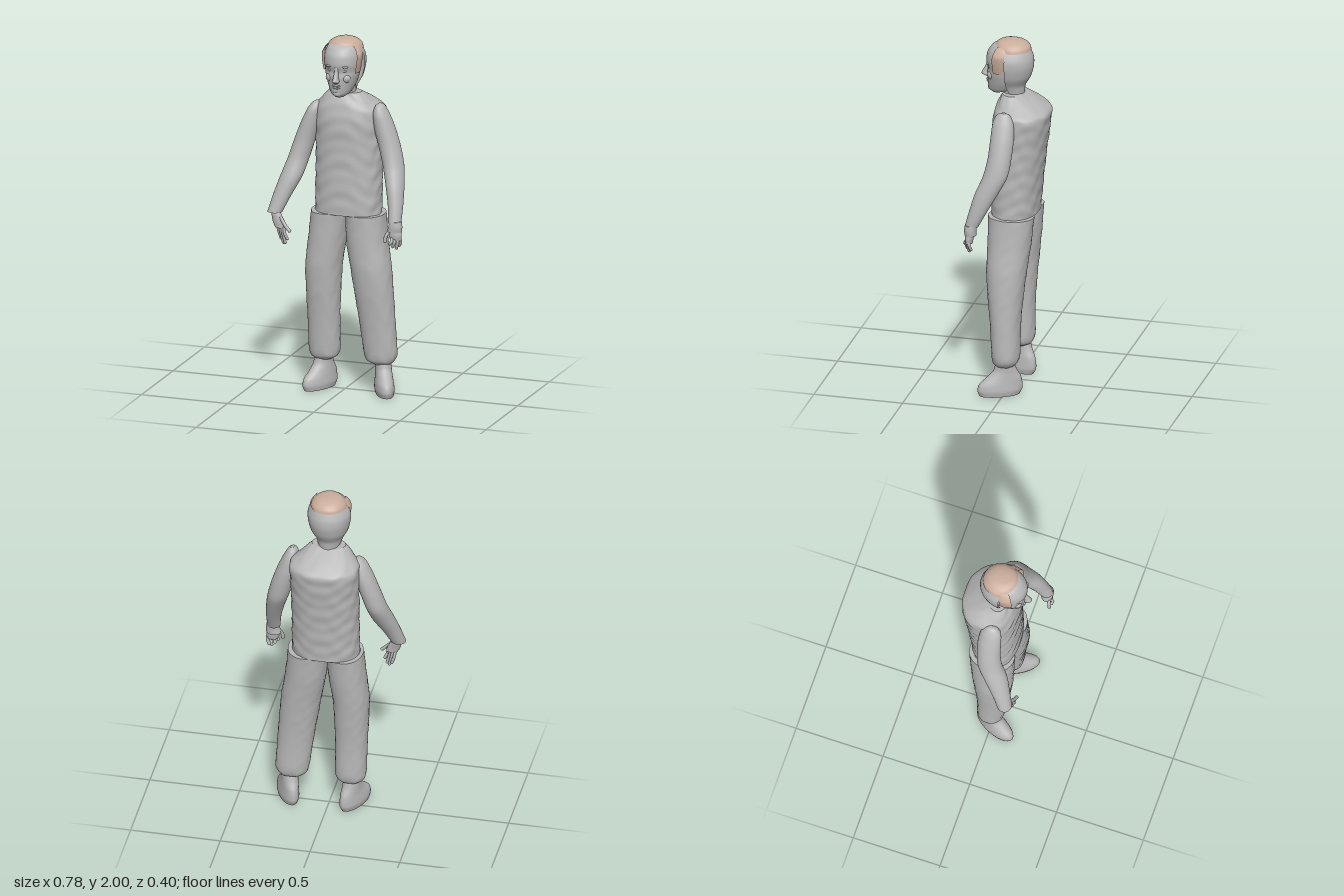
import * as THREE from 'three';

const grey = new THREE.MeshStandardMaterial({ color: 0xb8b8b8, side: THREE.DoubleSide });
grey.name = 'plain grey';
const tan = new THREE.MeshStandardMaterial({ color: 0xcbae9d, side: THREE.DoubleSide });
tan.name = 'hair tan';

// Smooth loft through horizontal rings, bottom to top: [y, xMin, xMax, zMin, zMax].
function loft(name, rings, { material = grey, power = 2, seg = 36, steps = 5, from = 0, to = Math.PI * 2, ripple = 0 } = {}) {
  const centres = new THREE.CatmullRomCurve3(
    rings.map(([y, a, b, c, d]) => new THREE.Vector3((a + b) / 2, y, (c + d) / 2)), false, 'catmullrom', 0.4);
  const radii = new THREE.CatmullRomCurve3(
    rings.map(([, a, b, c, d]) => new THREE.Vector3((b - a) / 2, 0, (d - c) / 2)), false, 'catmullrom', 0.4);
  const closed = to - from > 6.28;
  const cols = closed ? seg : seg + 1;
  const rows = (rings.length - 1) * steps;
  const pos = [], index = [];
  const bend = (v) => Math.sign(v) * Math.abs(v) ** (2 / power);
  for (let i = 0; i <= rows; i++) {
    const c = centres.getPoint(i / rows), r = radii.getPoint(i / rows);
    for (let j = 0; j < cols; j++) {
      const t = from + (to - from) * j / seg;
      const k = ripple * (Math.sin(c.y * 75 + Math.sin(t * 3) * 3) + Math.sin(c.y * 41 - Math.cos(t * 4) * 3)) / 2;
      pos.push(c.x + (r.x + k) * bend(Math.cos(t)), c.y, c.z + (r.z + k) * bend(Math.sin(t)));
    }
  }
  for (let i = 0; i < rows; i++) for (let j = 0; j < seg; j++) {
    const a = i * cols + j, b = i * cols + (j + 1) % cols;
    index.push(a, a + cols, b, b, a + cols, b + cols);
  }
  // Flat ends with their own corners, so the rims stay crisp
  if (closed) for (const row of [0, rows]) {
    const base = pos.length / 3, c = centres.getPoint(row / rows);
    for (let j = 0; j < cols; j++) pos.push(...pos.slice((row * cols + j) * 3, (row * cols + j) * 3 + 3));
    pos.push(c.x, c.y, c.z);
    for (let j = 0; j < cols; j++) {
      const n = base + (j + 1) % cols;
      index.push(base + cols, row ? n : base + j, row ? base + j : n);
    }
  }
  const geo = new THREE.BufferGeometry();
  geo.setAttribute('position', new THREE.Float32BufferAttribute(pos, 3));
  geo.setIndex(index);
  geo.computeVertexNormals();
  const mesh = new THREE.Mesh(geo, material);
  mesh.name = name;
  return mesh;
}

// Ellipsoid
function blob(name, [x, y, z], [rx, ry, rz], roll = 0) {
  const mesh = new THREE.Mesh(new THREE.SphereGeometry(1, 18, 12), grey);
  mesh.name = name;
  mesh.position.set(x, y, z);
  mesh.scale.set(rx, ry, rz);
  mesh.rotation.z = roll;
  return mesh;
}

// Rounded finger along a bent path
function finger(name, points, radius) {
  const g = new THREE.Group();
  g.name = name;
  const pts = points.map((p) => new THREE.Vector3(...p));
  g.add(new THREE.Mesh(new THREE.TubeGeometry(new THREE.CatmullRomCurve3(pts), 8, radius, 8), grey));
  g.add(blob(name + 'Tip', points[points.length - 1], [radius, radius, radius]));
  return g;
}

function shoe(name, x, yaw) {
  const mesh = loft(name, [
    [0, -0.045, 0.05, -0.085, 0.14],
    [0.03, -0.052, 0.055, -0.1, 0.15],
    [0.065, -0.05, 0.052, -0.1, 0.14],
    [0.1, -0.046, 0.048, -0.092, 0.1],
    [0.14, -0.045, 0.045, -0.07, 0.06],
    [0.2, -0.045, 0.045, -0.05, 0.045]]);
  mesh.position.x = x;
  mesh.rotation.y = yaw;
  return mesh;
}

function makeHead() {
  const g = new THREE.Group();
  g.name = 'head';
  g.add(loft('neck', [[1.6, -0.06, 0.065, -0.055, 0.06], [1.7, -0.055, 0.06, -0.055, 0.065], [1.78, -0.06, 0.065, -0.06, 0.08]]));
  g.add(loft('face', [
    [1.685, -0.022, 0.028, 0.07, 0.125],
    [1.705, -0.05, 0.055, 0.0, 0.145],
    [1.75, -0.073, 0.078, -0.05, 0.15],
    [1.8, -0.088, 0.093, -0.06, 0.152],
    [1.83, -0.093, 0.098, -0.06, 0.147],
    [1.87, -0.097, 0.102, -0.06, 0.157],
    [1.92, -0.095, 0.1, -0.06, 0.15],
    [1.96, -0.08, 0.085, -0.05, 0.122],
    [1.985, -0.05, 0.055, -0.03, 0.08]]));
  // Half shell behind the face, open to the front
  g.add(loft('backOfHead', [
    [1.7, -0.06, 0.065, -0.055, 0.085],
    [1.74, -0.075, 0.08, -0.062, 0.122],
    [1.79, -0.1, 0.107, -0.09, 0.15],
    [1.85, -0.113, 0.122, -0.106, 0.166],
    [1.9, -0.113, 0.122, -0.105, 0.165],
    [1.95, -0.09, 0.1, -0.086, 0.146],
    [1.975, -0.065, 0.07, -0.06, 0.12],
    [1.988, -0.02, 0.025, -0.02, 0.08]], { from: Math.PI, to: Math.PI * 2 }));
  // Hair: crown and two temple pieces
  g.add(loft('hairCrown', [
    [1.945, -0.094, 0.103, -0.092, 0.104],
    [1.965, -0.087, 0.096, -0.086, 0.105],
    [1.985, -0.066, 0.075, -0.064, 0.09],
    [1.996, -0.038, 0.045, -0.035, 0.062],
    [2.0, -0.008, 0.014, -0.005, 0.025]], { material: tan, ripple: 0.001 }));
  const temple = [
    [1.82, -0.097, 0.102, -0.045, 0.155],
    [1.87, -0.106, 0.112, -0.045, 0.16],
    [1.92, -0.109, 0.117, -0.045, 0.158],
    [1.955, -0.092, 0.1, -0.045, 0.14],
    [1.97, -0.078, 0.085, -0.045, 0.125]];
  g.add(loft('leftTempleHair', temple, { material: tan, seg: 10, from: -0.25, to: 0.46 }));
  g.add(loft('rightTempleHair', temple, { material: tan, seg: 10, from: Math.PI - 0.46, to: Math.PI + 0.25 }));
  // Features
  g.add(loft('nose', [
    [1.772, -0.012, 0.016, 0.14, 0.165],
    [1.783, -0.018, 0.022, 0.13, 0.186],
    [1.8, -0.013, 0.017, 0.13, 0.181],
    [1.835, -0.009, 0.013, 0.13, 0.162],
    [1.86, -0.012, 0.016, 0.13, 0.157]], { seg: 14 }));
  for (const s of [-1, 1]) {
    g.add(blob('eye', [0.002 + s * 0.038, 1.84, 0.132], [0.016, 0.008, 0.01]));
    g.add(blob('brow', [0.002 + s * 0.04, 1.864, 0.139], [0.026, 0.007, 0.011], s * -0.1));
    g.add(blob('cheek', [0.002 + s * 0.045, 1.795, 0.118], [0.026, 0.026, 0.024]));
  }
  g.add(blob('upperLip', [0.002, 1.755, 0.148], [0.026, 0.006, 0.01]));
  g.add(blob('lowerLip', [0.002, 1.743, 0.146], [0.021, 0.006, 0.011]));
  g.add(blob('chin', [0.002, 1.708, 0.132], [0.024, 0.018, 0.018]));
  return g;
}

function makeHands() {
  const g = new THREE.Group();
  g.name = 'hands';
  // Right hand hangs open
  g.add(loft('rightPalm', [
    [0.925, -0.345, -0.283, 0.15, 0.18],
    [0.96, -0.362, -0.292, 0.145, 0.18],
    [1.0, -0.37, -0.315, 0.135, 0.178],
    [1.03, -0.375, -0.325, 0.125, 0.17]], { seg: 18 }));
  [[-0.335, -0.317, 0.862, 0.15], [-0.322, -0.3, 0.842, 0.16], [-0.307, -0.286, 0.846, 0.17], [-0.293, -0.272, 0.87, 0.178]]
    .forEach(([x0, x1, y, z], i) => g.add(finger('rightFinger' + (i + 1),
      [[x0, 0.945, 0.165], [(x0 + x1) / 2 - 0.003, 0.9, z + 0.003], [x1, y, z]], 0.0085)));
  g.add(finger('rightThumb', [[-0.315, 0.985, 0.165], [-0.283, 0.945, 0.18], [-0.256, 0.918, 0.186]], 0.01));
  // Left hand is half closed below a cuff
  g.add(loft('leftCuff', [[0.965, 0.302, 0.385, 0.125, 0.19], [0.995, 0.31, 0.387, 0.125, 0.192], [1.025, 0.315, 0.382, 0.122, 0.188]], { seg: 20 }));
  g.add(loft('leftPalm', [
    [0.92, 0.322, 0.382, 0.145, 0.182],
    [0.95, 0.312, 0.386, 0.14, 0.186],
    [1.0, 0.32, 0.375, 0.135, 0.18]], { seg: 18 }));
  [[0.375, 0.368, 0.888, 0.15], [0.362, 0.356, 0.876, 0.162], [0.347, 0.34, 0.885, 0.175], [0.333, 0.325, 0.9, 0.186]]
    .forEach(([x0, x1, y, z], i) => g.add(finger('leftFinger' + (i + 1),
      [[x0, 0.945, 0.165], [x0 + 0.003, 0.912, z + 0.006], [x1, y, z]], 0.009)));
  g.add(finger('leftThumb', [[0.325, 0.975, 0.17], [0.303, 0.945, 0.182], [0.298, 0.915, 0.185]], 0.01));
  return g;
}

export function createModel() {
  const model = new THREE.Group();
  model.name = 'standingMan';

  model.add(loft('torso', [
    [1.01, -0.17, 0.2, -0.14, 0.115],
    [1.1, -0.17, 0.2, -0.148, 0.115],
    [1.25, -0.17, 0.2, -0.162, 0.112],
    [1.4, -0.172, 0.202, -0.18, 0.11],
    [1.53, -0.176, 0.207, -0.197, 0.11],
    [1.595, -0.175, 0.205, -0.2, 0.1],
    [1.635, -0.145, 0.162, -0.155, 0.088],
    [1.695, -0.09, 0.097, -0.05, 0.06]], { power: 2.3, seg: 64, steps: 9, ripple: 0.003 }));

  // Trouser legs, gathered at the ankle
  model.add(loft('rightLeg', [
    [0.165, -0.17, -0.075, -0.045, 0.045],
    [0.185, -0.196, -0.045, -0.07, 0.065],
    [0.23, -0.207, -0.036, -0.08, 0.072],
    [0.4, -0.211, -0.035, -0.08, 0.085],
    [0.55, -0.217, -0.03, -0.09, 0.102],
    [0.7, -0.22, -0.022, -0.105, 0.115],
    [0.85, -0.206, -0.002, -0.123, 0.115],
    [1.01, -0.19, 0.012, -0.138, 0.115]], { power: 2.2, seg: 44, ripple: 0.0015 }));
  model.add(loft('leftLeg', [
    [0.165, 0.165, 0.265, -0.045, 0.045],
    [0.185, 0.125, 0.285, -0.07, 0.065],
    [0.23, 0.111, 0.296, -0.08, 0.072],
    [0.4, 0.088, 0.287, -0.08, 0.085],
    [0.55, 0.065, 0.277, -0.09, 0.102],
    [0.7, 0.041, 0.264, -0.105, 0.115],
    [0.85, 0.015, 0.24, -0.123, 0.115],
    [1.01, 0.008, 0.224, -0.138, 0.115]], { power: 2.2, seg: 44, ripple: 0.0015 }));
  model.add(shoe('rightShoe', -0.13, -0.42), shoe('leftShoe', 0.222, 0.48));

  // Sleeves
  model.add(loft('rightArm', [
    [1.01, -0.395, -0.312, 0.11, 0.19],
    [1.1, -0.373, -0.272, 0.07, 0.168],
    [1.2, -0.345, -0.224, 0.015, 0.14],
    [1.3, -0.315, -0.198, -0.035, 0.1],
    [1.4, -0.285, -0.17, -0.05, 0.08],
    [1.5, -0.248, -0.142, -0.055, 0.074],
    [1.575, -0.212, -0.132, -0.045, 0.066],
    [1.61, -0.186, -0.138, -0.025, 0.045],
    [1.622, -0.168, -0.15, -0.005, 0.02]]));
  model.add(loft('leftArm', [
    [1.015, 0.306, 0.378, 0.115, 0.19],
    [1.1, 0.294, 0.376, 0.07, 0.168],
    [1.2, 0.268, 0.367, 0.015, 0.14],
    [1.3, 0.235, 0.35, -0.035, 0.1],
    [1.4, 0.204, 0.325, -0.05, 0.08],
    [1.5, 0.176, 0.292, -0.055, 0.074],
    [1.58, 0.168, 0.258, -0.048, 0.068],
    [1.625, 0.18, 0.233, -0.028, 0.05],
    [1.642, 0.198, 0.218, -0.005, 0.02]]));

  model.add(makeHands(), makeHead());
  return model;
}
